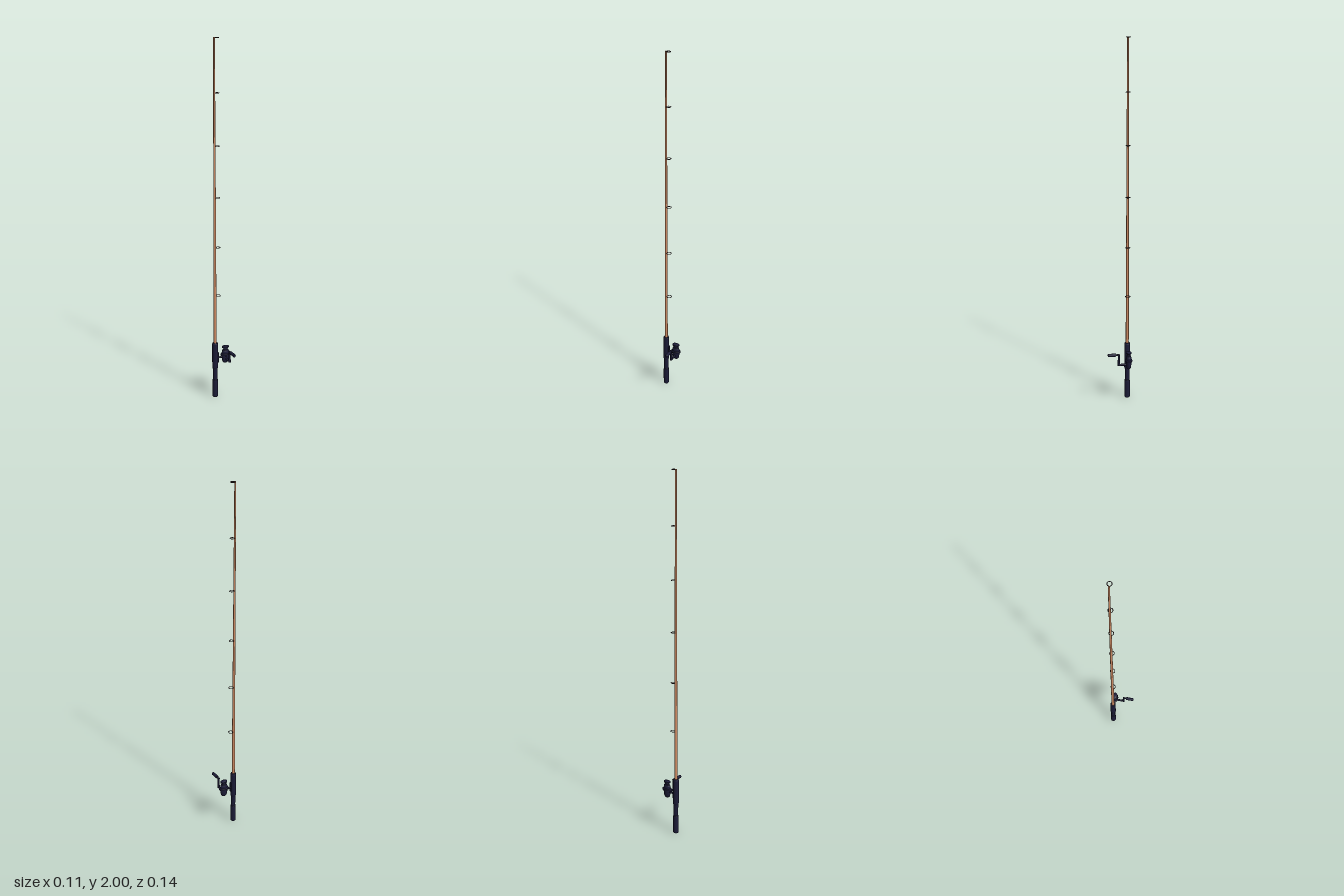
import * as THREE from 'three';

const navy = new THREE.MeshStandardMaterial({ color: 0x1c1c38 });
const copper = new THREE.MeshStandardMaterial({ color: 0xd08c64 });
const dark = new THREE.MeshStandardMaterial({ color: 0x33262a });

const ROD_X = -0.039, REEL_X = 0.025, Z = -0.049;

function add(parent, name, geometry, material, x = 0, y = 0, z = 0) {
  const mesh = new THREE.Mesh(geometry, material);
  mesh.name = name;
  mesh.position.set(x, y, z);
  parent.add(mesh);
  return mesh;
}

function lathe(points, segments = 24) {
  return new THREE.LatheGeometry(points.map(([r, y]) => new THREE.Vector2(r, y)), segments);
}

// Repeats inner profile points so that the edges stay crisp
function crisp(points) {
  return points.flatMap((p, i) => (i > 0 && i < points.length - 1 ? [p, p] : [p]));
}

export function createModel() {
  const model = new THREE.Group();
  model.name = 'fishingRod';

  // Tapered rod blank
  const rodBase = 0.31, rodTop = 1.999;
  add(model, 'rodBlank', new THREE.CylinderGeometry(0.0045, 0.0088, rodTop - rodBase, 16),
    copper, ROD_X, (rodTop + rodBase) / 2, Z);

  // Handle: butt grip, tapering waist and reel seat
  add(model, 'handle', lathe(crisp([
    [0, 0], [0.013, 0], [0.0155, 0.004], [0.0155, 0.1], [0.0145, 0.106], [0.0125, 0.108],
    [0.0135, 0.172], [0.0165, 0.184], [0.0165, 0.322], [0.014, 0.33], [0, 0.33],
  ])), navy, ROD_X, 0, Z);

  // Line guides, shrinking slightly toward the tip
  for (let i = 0; i < 6; i++) {
    const t = i / 5, tube = 0.0018;
    const outer = 0.0145 - 0.0015 * t;
    const rodRadius = 0.008 - 0.0035 * t;
    const guide = add(model, 'lineGuide', new THREE.TorusGeometry(outer - tube, tube, 8, 24),
      dark, ROD_X + rodRadius + outer - 0.003, 0.608 + 0.278 * i, Z);
    guide.rotation.x = Math.PI / 2;
  }

  // Reel, wider across than deep: rounded body, rim, neck and spool flange
  const reel = new THREE.Group();
  reel.name = 'reel';
  reel.position.set(REEL_X, 0, Z);
  model.add(reel);
  const body = add(reel, 'reelBody', lathe(crisp([
    [0, 0.199], [0.011, 0.2], [0.018, 0.208], [0.021, 0.222], [0.022, 0.241], [0.029, 0.244],
    [0.029, 0.252], [0.022, 0.255], [0.021, 0.268], [0.017, 0.277], [0.012, 0.279], [0.012, 0.288],
    [0.021, 0.29], [0.021, 0.297], [0.014, 0.299], [0.007, 0.301], [0, 0.301],
  ]), 32), navy);
  body.scale.z = 0.69;

  // Stem joining the reel to the handle
  const stem = add(model, 'reelStem', new THREE.CylinderGeometry(0.005, 0.006, 0.06, 12),
    navy, -0.007, 0.236, Z);
  stem.rotation.z = Math.PI / 2;
  add(model, 'reelFoot', new THREE.BoxGeometry(0.008, 0.06, 0.012), navy, ROD_X + 0.016, 0.238, Z);

  // Crank: shaft, upright arm and knob
  const crank = new THREE.Group();
  crank.name = 'crank';
  crank.position.x = REEL_X;
  model.add(crank);
  const shaft = add(crank, 'crankShaft', new THREE.CylinderGeometry(0.006, 0.006, 0.056, 12),
    navy, 0, 0.225, -0.02);
  shaft.rotation.x = Math.PI / 2;
  add(crank, 'crankArm', new THREE.CylinderGeometry(0.0055, 0.0065, 0.066, 12), navy, 0, 0.254, 0.006);
  const pin = add(crank, 'knobPin', new THREE.CylinderGeometry(0.005, 0.005, 0.026, 12),
    navy, 0, 0.284, 0.014);
  pin.rotation.x = Math.PI / 2;
  const knob = add(crank, 'crankKnob', lathe(crisp([
    [0, 0.022], [0.008, 0.022], [0.009, 0.025], [0.009, 0.064], [0.008, 0.067], [0, 0.067],
  ]), 20), navy, 0, 0.284, 0);
  knob.rotation.x = Math.PI / 2;

  return model;
}
